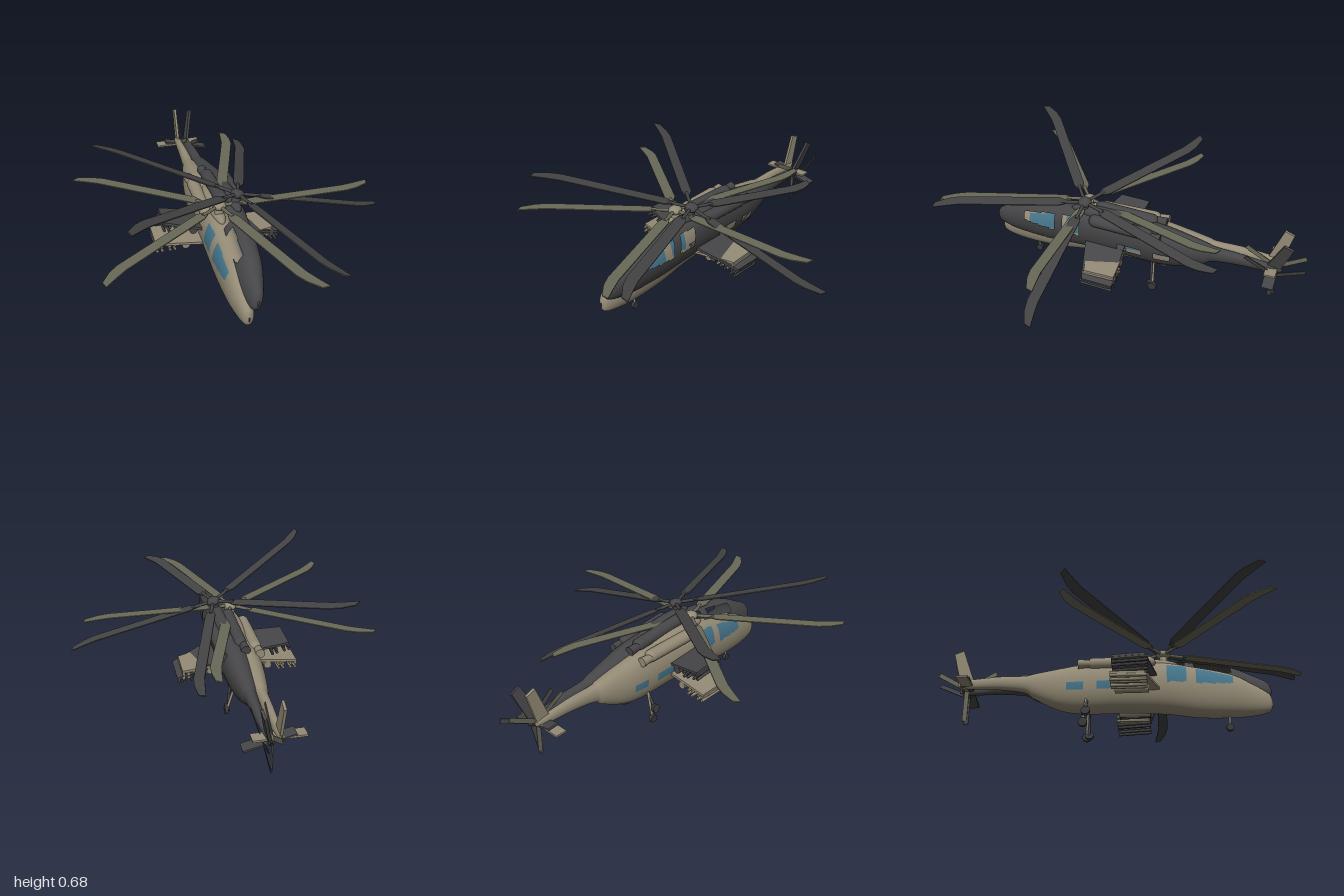
import * as THREE from 'three';

const mat = (name, color, side = THREE.FrontSide) => {
  const m = new THREE.MeshStandardMaterial({ color, side });
  m.name = name;
  return m;
};

// Fuselage stations from nose to tail: z, bottom, top, half width
const STATIONS = [
  [0.775, 0.135, 0.16, 0.003], [0.755, 0.1, 0.2, 0.028], [0.68, 0.082, 0.25, 0.05],
  [0.57, 0.075, 0.31, 0.069], [0.4, 0.08, 0.352, 0.08], [0.22, 0.105, 0.385, 0.085],
  [0, 0.115, 0.39, 0.085], [-0.2, 0.115, 0.387, 0.082], [-0.33, 0.14, 0.368, 0.07],
  [-0.46, 0.205, 0.345, 0.046], [-0.51, 0.24, 0.335, 0.033], [-0.65, 0.262, 0.335, 0.025],
  [-0.82, 0.27, 0.32, 0.016], [-0.87, 0.285, 0.31, 0.003],
];
// Windows: z min, z max, bottom, top at z min, top at z max
const WINDOWS = [
  [0.38, 0.57, 0.235, 0.335, 0.287], [0.24, 0.33, 0.245, 0.355, 0.345],
  [-0.12, 0.02, 0.215, 0.262, 0.262], [-0.28, -0.2, 0.215, 0.262, 0.262],
];
const inWindow = (z, y) => WINDOWS.some(([a, b, lo, ha, hb]) =>
  z > a && z < b && y > lo && y < ha + (hb - ha) * (z - a) / (b - a));

function hullGeometry(withGlass) {
  const N = 140, M = 96, pos = [], skin = [], glass = [];
  const curve = (f) => new THREE.CatmullRomCurve3(STATIONS.map(f), false, 'catmullrom', 0.5);
  const side = curve((s) => new THREE.Vector3(s[0], s[1], s[2]));
  const plan = curve((s) => new THREE.Vector3(s[3], 0, 0));
  for (let i = 0; i <= N; i++) {
    const p = side.getPoint(i / N), w = plan.getPoint(i / N).x;
    for (let j = 0; j < M; j++) {
      const a = (j / M) * Math.PI * 2, c = Math.cos(a);
      pos.push(w * Math.sign(c) * Math.abs(c) ** 0.9,
        (p.y + p.z) / 2 + (p.z - p.y) / 2 * Math.sin(a), p.x);
    }
  }
  for (let i = 0; i < N; i++) {
    for (let j = 0; j < M; j++) {
      const k = (j + 1) % M;
      const a = i * M + j, b = a + M, c = b - j + k, d = c - M;
      const mid = (n) => (pos[a * 3 + n] + pos[c * 3 + n]) / 2;
      (inWindow(mid(2), mid(1)) ? glass : skin).push(a, b, c, a, c, d);
    }
  }
  const g = new THREE.BufferGeometry();
  g.setAttribute('position', new THREE.Float32BufferAttribute(pos, 3));
  g.setIndex([...skin, ...glass]);
  g.computeVertexNormals();
  if (!withGlass) g.setIndex(skin);
  g.addGroup(0, skin.length, 0);
  if (withGlass) g.addGroup(skin.length, glass.length, 1);
  return g;
}

// Flat plate from an outline, centred on its thickness
function plate(points, thick) {
  const shape = new THREE.Shape(points.map(([x, y]) => new THREE.Vector2(x, y)));
  return new THREE.ExtrudeGeometry(shape, { depth: thick, bevelEnabled: false }).translate(0, 0, -thick / 2);
}

function add(parent, name, geometry, material, x = 0, y = 0, z = 0) {
  const m = new THREE.Mesh(geometry, material);
  m.name = name;
  m.position.set(x, y, z);
  parent.add(m);
  return m;
}

// Round rod between two points
function rod(parent, name, a, b, r, material) {
  const p = new THREE.Vector3(...a), d = new THREE.Vector3(...b).sub(p);
  const m = add(parent, name, new THREE.CylinderGeometry(r, r, d.length(), 10), material);
  m.position.copy(p).addScaledVector(d, 0.5);
  m.quaternion.setFromUnitVectors(new THREE.Vector3(0, 1, 0), d.normalize());
}

function wheel(parent, x, y, z, r, material) {
  add(parent, 'wheel', new THREE.CylinderGeometry(r, r, 0.018, 20).rotateZ(Math.PI / 2), material, x, y, z);
}

function helicopter(name, paint, blades, tyre, glass) {
  const g = new THREE.Group();
  g.name = name;
  add(g, 'fuselage', hullGeometry(!!glass), glass ? [paint, glass] : [paint]);

  // Rotor mast, hub and five blades with swept tips
  const rotor = new THREE.Group();
  rotor.name = 'mainRotor';
  rotor.position.set(0, 0.44, 0.22);
  g.add(rotor);
  add(rotor, 'mast', new THREE.CylinderGeometry(0.018, 0.028, 0.08, 16), paint, 0, -0.04, 0);
  add(rotor, 'hub', new THREE.SphereGeometry(0.036, 20, 12).scale(1, 0.62, 1), paint);
  const outline = [[0.1, -0.012], [0.14, -0.03], [0.68, -0.03], [0.74, -0.018], [0.81, 0.012],
    [0.82, 0.048], [0.75, 0.036], [0.68, 0.026], [0.14, 0.026], [0.1, 0.012]];
  const bladeGeo = plate(outline, 0.006).rotateX(-Math.PI / 2);
  for (let k = 0; k < 5; k++) {
    const arm = new THREE.Group();
    arm.name = 'rotorArm';
    arm.rotation.y = k * Math.PI * 0.4;
    rotor.add(arm);
    add(arm, 'rotorBlade', bladeGeo, blades);
    rod(arm, 'bladeGrip', [0.02, 0, 0], [0.125, 0, 0], 0.009, blades);
  }

  // Roof fairing behind the mast
  add(g, 'roofFairing', new THREE.SphereGeometry(1, 24, 14).scale(0.04, 0.035, 0.2), paint, 0, 0.378, 0.1);

  // Tail fin, stabiliser and three-bladed tail rotor
  add(g, 'tailFin', plate([[0.775, 0.28], [0.85, 0.27], [0.905, 0.475], [0.855, 0.495]], 0.014)
    .rotateY(Math.PI / 2), paint);
  add(g, 'stabiliser', new THREE.BoxGeometry(0.26, 0.01, 0.06), paint, 0, 0.285, -0.82);
  const tail = new THREE.Group();
  tail.name = 'tailRotor';
  tail.position.set(0.03, 0.28, -0.83);
  g.add(tail);
  rod(tail, 'tailRotorHub', [-0.035, 0, 0], [0.008, 0, 0], 0.013, paint);
  for (let k = 0; k < 3; k++) {
    const b = add(tail, 'tailRotorBlade',
      new THREE.BoxGeometry(0.004, 0.17, 0.025).translate(0, -0.095, 0), blades);
    b.rotation.x = k * Math.PI * 2 / 3;
  }

  // Nose gear
  rod(g, 'noseStrut', [0, 0.1, 0.55], [0, 0.02, 0.55], 0.006, paint);
  wheel(g, 0, 0.02, 0.55, 0.019, tyre);

  for (const s of [-1, 1]) {
    // Engine with intake and exhaust
    add(g, 'engine', new THREE.CapsuleGeometry(0.034, 0.29, 8, 20).rotateX(Math.PI / 2), paint, s * 0.052, 0.37, 0);
    add(g, 'exhaust', new THREE.CylinderGeometry(0.02, 0.026, 0.07, 16).rotateX(Math.PI / 2), paint, s * 0.062, 0.368, -0.19);

    // Main gear
    rod(g, 'mainStrut', [s * 0.06, 0.17, -0.18], [s * 0.105, 0.025, -0.19], 0.007, paint);
    wheel(g, s * 0.11, 0.023, -0.19, 0.023, tyre);

    // Stub wing, drooping slightly to the tip
    const wing = add(g, 'stubWing', plate([[0.04, 0.02], [0.32, 0.04], [0.32, -0.13], [0.04, -0.21]], 0.014)
      .rotateX(-Math.PI / 2), paint, 0, 0.215, 0);
    wing.geometry.rotateX(Math.PI).scale(1, 1, -1).rotateX(Math.PI).scale(1, 1, -1);
    wing.geometry.rotateZ(-0.07);
    if (s < 0) { // turn over so the outline mirrors with its faces outward
      wing.geometry.rotateZ(0.07).rotateZ(Math.PI).rotateZ(0.07);
    }

    // Rocket pod and missile pairs under the wing
    add(g, 'rocketPod', new THREE.CylinderGeometry(0.021, 0.021, 0.17, 18).rotateX(Math.PI / 2), paint, s * 0.16, 0.175, 0.06);
    add(g, 'podPylon', new THREE.BoxGeometry(0.01, 0.03, 0.09), paint, s * 0.16, 0.195, 0.05);
    for (const x of [0.232, 0.3]) {
      add(g, 'missilePylon', new THREE.BoxGeometry(0.01, 0.03, 0.09), paint, s * x, 0.182, 0.05);
      add(g, 'missileRail', new THREE.BoxGeometry(0.034, 0.008, 0.12), paint, s * x, 0.172, 0.05);
      for (const dx of [-0.013, 0.013]) for (const y of [0.18, 0.158]) {
        add(g, 'missile', new THREE.CylinderGeometry(0.008, 0.008, 0.18, 10).rotateX(Math.PI / 2), paint, s * x + dx, y, 0.05);
      }
    }
  }
  return g;
}

export function createModel() {
  const tan = mat('tan paint', 0x948b76);
  const grey = mat('dark grey paint', 0x464648, THREE.DoubleSide);
  const olive = mat('olive blades', 0x696959);
  const charcoal = mat('charcoal blades', 0x434344);
  const tyre = mat('tyre rubber', 0x3a3a3c);
  const glass = mat('teal glass', 0x45748a, THREE.DoubleSide);

  const model = new THREE.Group();
  model.name = 'helicopterPair';

  // Level helicopter
  const level = helicopter('levelHelicopter', tan, olive, tyre, glass);
  level.position.x = -0.09;
  model.add(level);

  // Overlapping twin, rolled and pitched, with open windows
  const rolled = helicopter('rolledHelicopter', grey, charcoal, tyre, null);
  rolled.rotation.set(-0.065, 0, -0.245, 'ZXY');
  const hub = new THREE.Vector3(0, 0.44, 0.22).applyEuler(rolled.rotation);
  rolled.position.set(0.012, 0.485, 0.205).sub(hub);
  model.add(rolled);
  return model;
}
